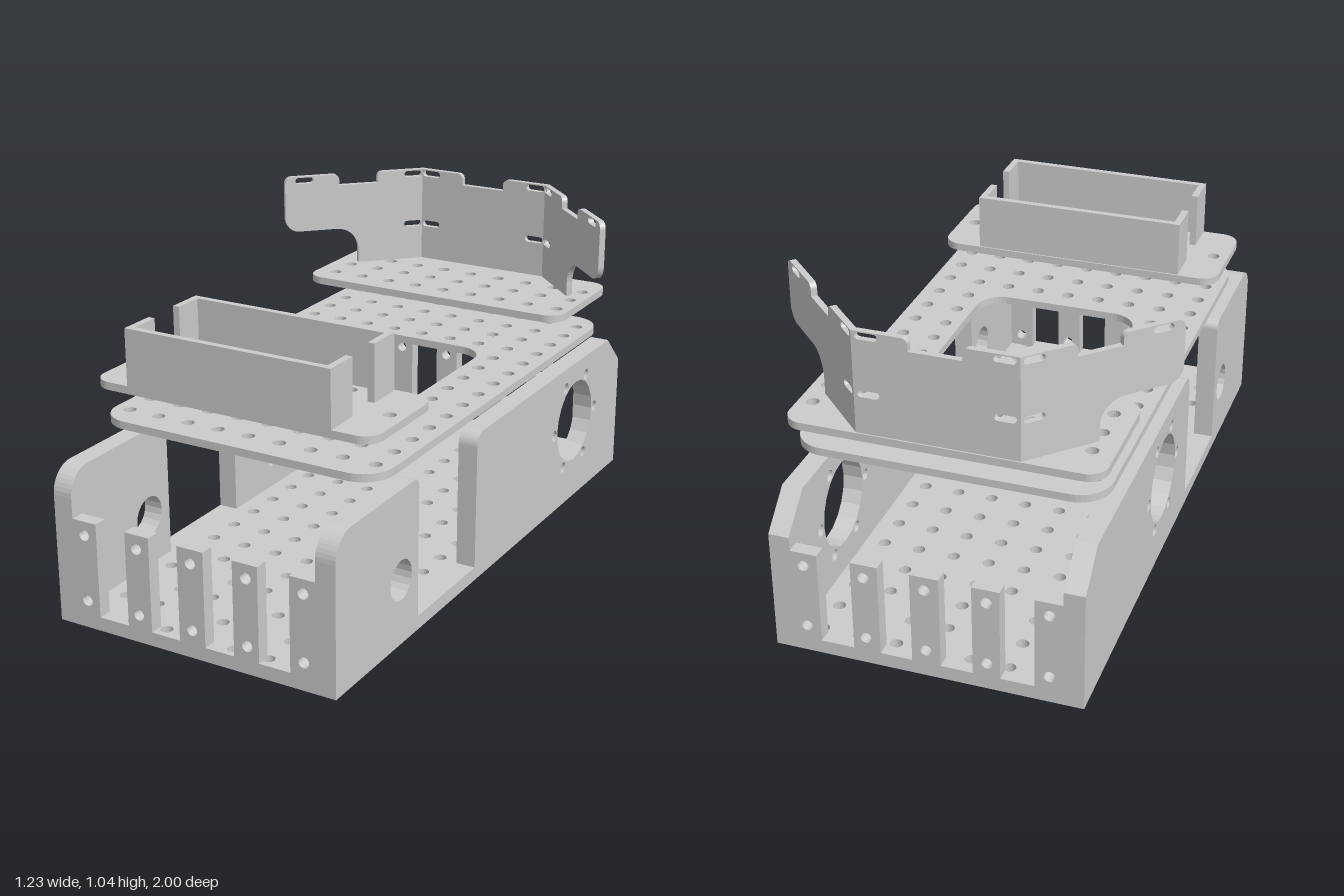
import * as THREE from 'three';

const mat = new THREE.MeshStandardMaterial({ color: 0xcccccc, side: THREE.DoubleSide });

// Outline from points [x, y, cornerRadius]
function outline(points) {
  const s = new THREE.Shape(), n = points.length;
  points.forEach(([x, y, r = 0], i) => {
    const c = new THREE.Vector2(x, y);
    const toward = (p) => c.clone().add(new THREE.Vector2(p[0], p[1]).sub(c).setLength(r));
    const a = toward(points[(i + n - 1) % n]), b = toward(points[(i + 1) % n]);
    if (i) s.lineTo(a.x, a.y); else s.moveTo(a.x, a.y);
    if (r) {
      const k = 0.5523; // circular-arc bezier factor
      const p = a.clone().lerp(c, k), q = b.clone().lerp(c, k);
      s.bezierCurveTo(p.x, p.y, q.x, q.y, b.x, b.y);
    }
  });
  s.closePath();
  return s;
}

const roundRect = (x0, x1, y0, y1, r = 0) =>
  outline([[x0, y0, r], [x1, y0, r], [x1, y1, r], [x0, y1, r]]);

function hole(shape, x, y, r) {
  shape.holes.push(new THREE.Path().absarc(x, y, r, 0, Math.PI * 2, true));
}

function slot(shape, x, y, w, h) {
  shape.holes.push(roundRect(x - w / 2, x + w / 2, y - h / 2, y + h / 2, h * 0.49));
}

const extrude = (shape, depth) =>
  new THREE.ExtrudeGeometry(shape, { depth, bevelEnabled: false, curveSegments: 10 });

function add(parent, name, geometry) {
  const m = new THREE.Mesh(geometry, mat);
  m.name = name;
  parent.add(m);
  return m;
}

// Horizontal plate: shape drawn in x, z
const plate = (parent, name, shape, bottom, top) =>
  add(parent, name, extrude(shape, top - bottom).rotateX(Math.PI / 2).translate(0, top, 0));

const H = 0.5, FLOOR = 0.045, W = 0.485, INNER = 0.42, T = 0.045;

function chassis() {
  const g = new THREE.Group();
  g.name = 'chassis';

  // Perforated floor
  const floor = roundRect(-INNER, INNER, -1, 1);
  for (let i = -3; i <= 3; i++)
    for (let k = -8; k <= 8; k++) hole(floor, i * 0.119, 0.01 + k * 0.119, 0.02);
  plate(g, 'floor', floor, 0, FLOOR);

  // Side walls, drawn in -z, y; the motor opening differs per side
  for (const [name, x, motorZ] of [['leftWall', INNER, -0.62], ['rightWall', -W, -0.17]]) {
    const s = outline([
      [-1, 0], [1, 0], [1, 0.395], [0.89, H], [-0.14, H, 0.045], [-0.14, FLOOR],
      [-0.52, FLOOR], [-0.52, H, 0.03], [-1, H, 0.085],
    ]);
    hole(s, -0.625, 0.21, 0.065);
    hole(s, -motorZ, 0.285, 0.145);
    for (let i = 0; i < 6; i++) {
      const a = i * Math.PI / 3;
      hole(s, -motorZ + Math.cos(a) * 0.168, 0.285 + Math.sin(a) * 0.168, 0.019);
    }
    add(g, name, extrude(s, W - INNER).rotateY(Math.PI / 2).translate(x, 0, 0));
  }

  // Upright posts across both ends
  const posts = [[-INNER, -0.335, -0.38], [-0.23, -0.145, -0.19], [-0.045, 0.045, 0],
    [0.145, 0.23, 0.19], [0.335, INNER, 0.38]];
  for (const [name, z] of [['frontPost', 1 - T], ['rearPost', -1]])
    for (const [x0, x1, hx] of posts) {
      const s = roundRect(x0, x1, FLOOR, 0.35);
      hole(s, hx, 0.305, 0.018);
      hole(s, hx, 0.09, 0.018);
      add(g, name, extrude(s, T).translate(0, 0, z));
    }
  return g;
}

// Middle deck with a large rounded opening
function deck() {
  const s = roundRect(-0.475, 0.495, -0.81, 0.79, 0.1);
  s.holes.push(roundRect(-0.265, 0.28, -0.325, 0.295, 0.09));
  for (let i = 0; i < 9; i++)
    for (let k = 0; k < 14; k++) {
      const x = -0.42 + i * 0.1075, z = -0.705 + k * 0.108;
      const inOpening = i > 1 && i < 7 && z > -0.35 && z < 0.33;
      if (!inOpening) hole(s, x, z, 0.02);
    }
  const g = new THREE.Group();
  g.name = 'deck';
  plate(g, 'deckPlate', s, 0.57, 0.595);
  return g;
}

// Front plate carrying an open-ended battery tray
function batteryTray() {
  const g = new THREE.Group();
  g.name = 'batteryTray';
  const s = roundRect(-0.49, 0.48, 0.415, 0.785, 0.06);
  for (const z of [0.48, 0.715])
    for (let i = 0; i < 5; i++) hole(s, -0.245 + i * 0.119, z, 0.02);
  for (const x of [-0.44, 0.23, 0.43]) hole(s, x, 0.6, 0.02);
  plate(g, 'trayPlate', s, 0.685, 0.71);

  // Two C-shaped walls facing each other
  const x0 = -0.36, x1 = 0.345, t = 0.022;
  for (const [name, out, end] of [['frontTrayWall', 0.785, 0.665], ['rearTrayWall', 0.42, 0.54]]) {
    const inn = out + Math.sign(end - out) * t;
    const c = outline([[x0, out], [x1, out], [x1, end], [x1 - t, end],
      [x1 - t, inn], [x0 + t, inn], [x0 + t, end], [x0, end]]);
    plate(g, name, c, 0.71, 0.892);
  }
  return g;
}

// Rear plate carrying a folded sensor bracket
function sensorMount() {
  const g = new THREE.Group();
  g.name = 'sensorMount';
  const s = roundRect(-0.49, 0.485, -0.87, -0.445, 0.06);
  for (let i = 0; i < 9; i++)
    for (const z of [-0.53, -0.64, -0.745]) hole(s, -0.42 + i * 0.1075, z, 0.02);
  plate(g, 'mountPlate', s, 0.685, 0.71);

  const F = 0.25, Z = -0.865, t = 0.02, base = 0.7, low = 1.0, top = 1.04;
  // Centre panel
  const c = outline([[-F, base], [F, base], [F, top], [0.08, top, 0.02], [0.08, low],
    [-0.08, low], [-0.08, top, 0.02], [-F, top]]);
  for (const x of [-0.205, 0.205])
    for (const y of [0.84, 1.025]) slot(c, x, y, 0.068, 0.022);
  add(g, 'bracketCentre', extrude(c, t).translate(0, 0, Z));

  // Angled wings, u measured along the wing from the fold
  for (const side of [1, -1]) {
    const u = (x) => side * (x - F) * Math.SQRT2;
    const w = outline([[u(F), base], [u(0.425), base], [u(0.425), 0.84, 0.08],
      [u(0.615), 0.84, 0.05], [u(0.615), top, 0.025], [u(0.475), top, 0.02], [u(0.475), low],
      [u(0.375), low], [u(0.375), top, 0.02], [u(F), top]]);
    for (const [x, y] of [[0.28, 0.84], [0.28, 1.025], [0.565, 1.025]])
      slot(w, u(x), y, 0.066, 0.022);
    const geo = extrude(w, t).rotateY(-side * Math.PI / 4).translate(side * F, 0, Z);
    add(g, side > 0 ? 'leftBracketWing' : 'rightBracketWing', geo);
  }
  return g;
}

export function createModel() {
  const model = new THREE.Group();
  model.name = 'robotChassis';
  model.add(chassis(), deck(), batteryTray(), sensorMount());
  return model;
}
